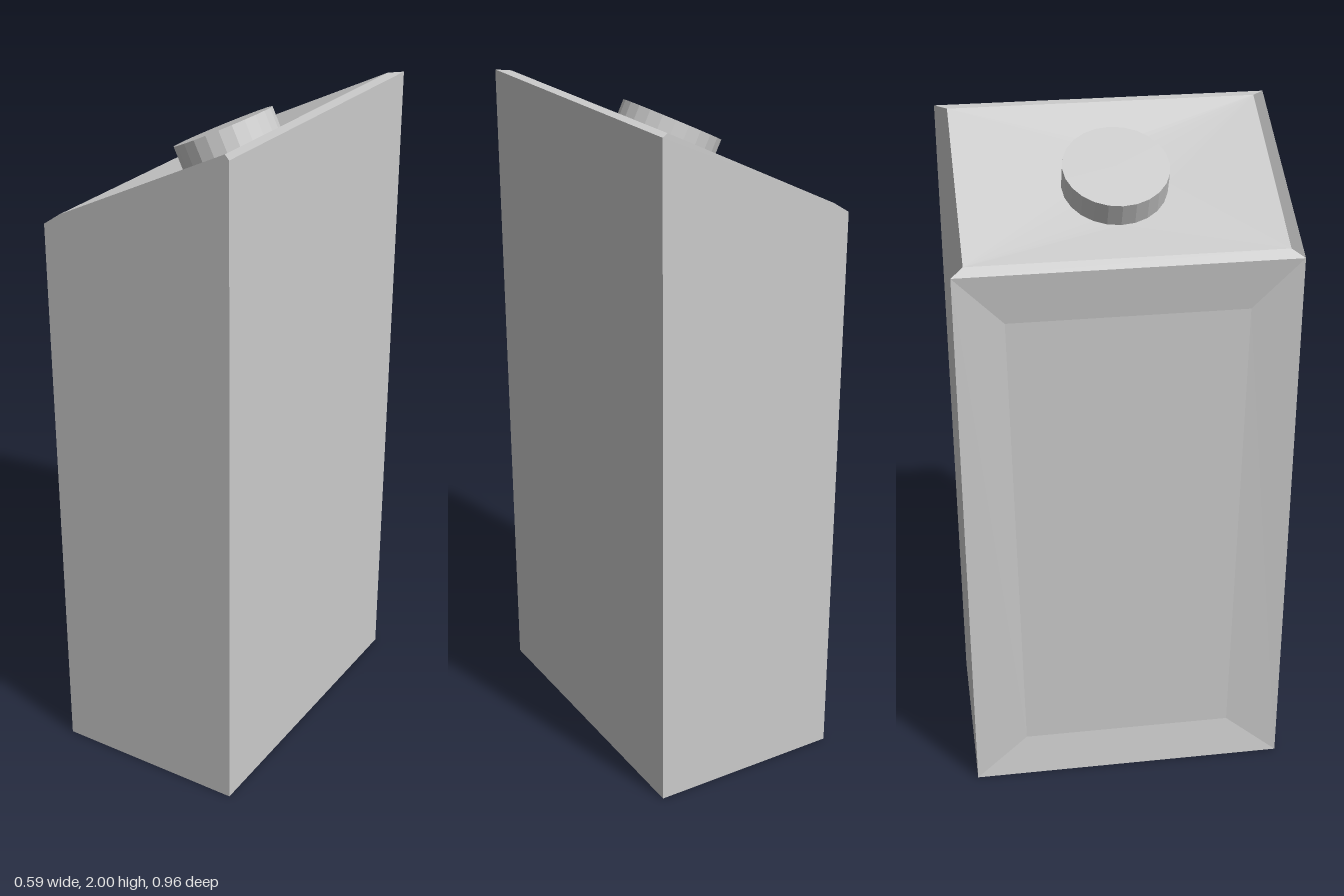
import * as THREE from 'three';

const V = (x, y, z) => new THREE.Vector3(x, y, z);
const material = new THREE.MeshStandardMaterial({ color: 0xcccccc });
const facetedMaterial = new THREE.MeshStandardMaterial({ color: 0xcccccc, flatShading: true });

// Mesh from convex polygons (counter-clockwise from outside); normal overrides the face normal
function polyMesh(name, polygons) {
  const pos = [], nor = [];
  for (const { pts, normal } of polygons) {
    for (let i = 1; i < pts.length - 1; i++) {
      const tri = [pts[0], pts[i], pts[i + 1]];
      const n = normal || new THREE.Triangle(...tri).getNormal(V(0, 0, 0));
      for (const p of tri) {
        pos.push(p.x, p.y, p.z);
        nor.push(n.x, n.y, n.z);
      }
    }
  }
  const geometry = new THREE.BufferGeometry();
  geometry.setAttribute('position', new THREE.Float32BufferAttribute(pos, 3));
  geometry.setAttribute('normal', new THREE.Float32BufferAttribute(nor, 3));
  const mesh = new THREE.Mesh(geometry, material);
  mesh.name = name;
  return mesh;
}

// Four corners: front right, front left, back left, back right
const corners = (x0, x1, z, y0, y1) => [V(x0, y0, z), V(x1, y1, z), V(x1, y1, -z), V(x0, y0, -z)];

// Quads joining two four-cornered loops
const band = (a, b) => a.map((p, i) => ({ pts: [p, a[(i + 1) % 4], b[(i + 1) % 4], b[i]] }));

export function createModel() {
  const group = new THREE.Group();
  const base = corners(-0.295, 0.295, 0.48, 0, 0);
  const rim = corners(-0.295, 0.295, 0.48, 1.72, 2);
  const inner = corners(-0.27, 0.26, 0.445, 1.74, 2);

  // Carton walls and floor; the short side holds a shallow sunken panel
  const walls = band(base, rim).slice(0, 3);
  const side = [base[3], base[0], rim[0], rim[3]];
  const panel = [V(-0.275, 0.13, -0.32), V(-0.275, 0.13, 0.32), V(-0.275, 1.57, 0.34), V(-0.275, 1.57, -0.34)];
  group.add(polyMesh('cartonWalls', [...walls, { pts: [...base].reverse() }]));
  group.add(polyMesh('sunkenSidePanel', [...band(side, panel), { pts: panel }]));

  // Folded rim; front and back folds are shaded as one with their walls
  const folds = band(rim, inner);
  folds[0].normal = V(0, 0, 1);
  folds[2].normal = V(0, 0, -1);
  group.add(polyMesh('foldedRim', folds));

  // Slanted top, dipping from the rim to the foot of the cap
  const tilt = Math.atan2(0.26, 0.53), radius = 0.15, height = 0.075, segments = 24;
  const foot = V(0.008, 1.842, 0);
  const ring = (k) => {
    const a = THREE.MathUtils.degToRad(180) + (k / segments) * Math.PI * 2;
    return V(Math.cos(a) * radius, 0, -Math.sin(a) * radius)
      .applyAxisAngle(V(0, 0, 1), tilt).add(foot);
  };
  const top = [], quarter = segments / 4;
  inner.forEach((corner, i) => {
    for (let k = i * quarter; k < (i + 1) * quarter; k++) {
      top.push({ pts: [corner, ring(k + 1), ring(k)] });
    }
    top.push({ pts: [corner, inner[(i + 1) % 4], ring((i + 1) * quarter)] });
  });
  group.add(polyMesh('slantedTop', top));

  // Round cap standing square to the slope
  const cap = new THREE.Mesh(new THREE.CylinderGeometry(radius, radius, height, segments), facetedMaterial);
  cap.name = 'cap';
  cap.rotation.z = tilt;
  cap.position.copy(foot).add(V(0, height / 2, 0).applyAxisAngle(V(0, 0, 1), tilt));
  group.add(cap);

  return group;
}
